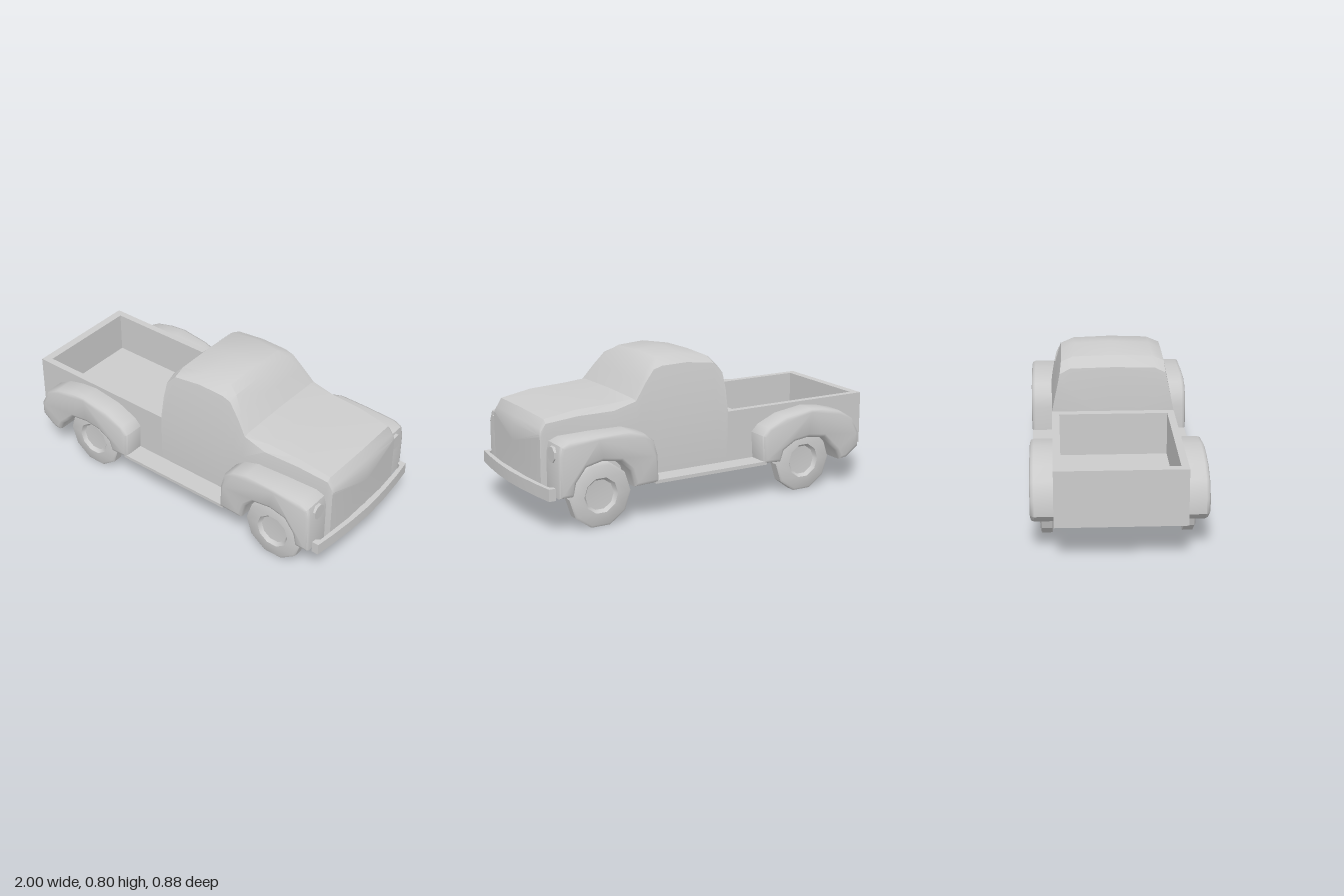
import * as THREE from 'three';
import { toCreasedNormals } from 'three/addons/utils/BufferGeometryUtils.js';

const material = new THREE.MeshStandardMaterial({ color: 0xcccccc });

function part(name, geometry, crease = 0.6) {
  const flat = geometry.index ? geometry.toNonIndexed() : geometry;
  const mesh = new THREE.Mesh(toCreasedNormals(flat, crease), material);
  mesh.name = name;
  return mesh;
}

const shapeOf = (pts) => new THREE.Shape(pts.map(([x, y]) => new THREE.Vector2(x, y)));

// Cab and hood: cross-sections lofted from the back of the cab to the nose.
// x, half width of body, shoulder (z, y), roof edge (z, y), crown y, nose bow
const STATIONS = [
  [-0.12, 0.325, 0.300, 0.600, 0.250, 0.620, 0.620, 0],
  [-0.11, 0.325, 0.282, 0.685, 0.225, 0.715, 0.720, 0],
  [-0.06, 0.325, 0.274, 0.740, 0.210, 0.767, 0.773, 0],
  [0.10, 0.325, 0.270, 0.760, 0.200, 0.797, 0.805, 0],
  [0.25, 0.325, 0.270, 0.757, 0.200, 0.787, 0.794, 0],
  [0.30, 0.325, 0.272, 0.742, 0.220, 0.757, 0.762, 0],
  [0.36, 0.325, 0.286, 0.675, 0.255, 0.683, 0.686, 0],
  [0.42, 0.326, 0.304, 0.598, 0.270, 0.605, 0.610, 0],
  [0.55, 0.322, 0.308, 0.565, 0.275, 0.596, 0.603, 0],
  [0.75, 0.305, 0.295, 0.560, 0.270, 0.588, 0.594, 0.005],
  [0.925, 0.288, 0.282, 0.540, 0.262, 0.560, 0.568, 0.01],
  [0.955, 0.286, 0.282, 0.505, 0.265, 0.515, 0.522, 0.015],
  [0.97, 0.285, 0.282, 0.485, 0.265, 0.487, 0.490, 0.02],
];

function cabGeometry() {
  const rings = STATIONS.map(([x, w, sz, sy, rz, ry, top, bow]) => {
    const half = [[w, 0.19], [w, Math.min(0.48, sy - 0.01)], [sz, sy], [rz, ry]];
    const ring = [...half, [0, top], ...half.map(([z, y]) => [-z, y]).reverse(), [0, 0.19]];
    return ring.map(([z, y]) => [x - bow * (z / w) ** 2, y, z]);
  });
  const n = rings[0].length;
  const pos = [];
  const last = rings.length - 1;
  for (let k = 0; k < n; k++) {
    const j = (k + 1) % n;
    for (let i = 0; i < last; i++) {
      const a = rings[i][k], b = rings[i + 1][k], c = rings[i + 1][j], d = rings[i][j];
      pos.push(...a, ...b, ...c, ...a, ...c, ...d);
    }
    pos.push(-0.12, 0.4, 0, ...rings[0][k], ...rings[0][j]);
    pos.push(0.97, 0.4, 0, ...rings[last][j], ...rings[last][k]);
  }
  const g = new THREE.BufferGeometry();
  g.setAttribute('position', new THREE.Float32BufferAttribute(pos, 3));
  return g;
}

// Open cargo bed: rectangular wall frame with a floor.
function addBed(group) {
  const frame = shapeOf([[-1, -0.325], [-0.12, -0.325], [-0.12, 0.325], [-1, 0.325]]);
  frame.holes.push(shapeOf([[-0.955, -0.287], [-0.955, 0.287], [-0.17, 0.287], [-0.17, -0.287]]));
  const walls = new THREE.ExtrudeGeometry(frame, { depth: 0.29, bevelEnabled: false });
  walls.rotateX(Math.PI / 2).translate(0, 0.48, 0);
  group.add(part('bedWalls', walls));
  const floor = new THREE.BoxGeometry(0.8, 0.06, 0.59).translate(-0.5625, 0.22, 0);
  group.add(part('bedFloor', floor));
}

// Fender outlines in side view, wheel arch included.
const REAR_FENDER = [
  [-0.91, 0.21], [-0.91, 0.29], [-0.865, 0.375], [-0.78, 0.425], [-0.68, 0.45], [-0.585, 0.46],
  [-0.42, 0.437], [-0.31, 0.39], [-0.27, 0.35], [-0.28, 0.195], [-0.39, 0.19], [-0.41, 0.25],
  [-0.48, 0.29], [-0.57, 0.302], [-0.67, 0.288], [-0.715, 0.24], [-0.76, 0.2], [-0.785, 0.147],
  [-0.83, 0.153],
];
const FRONT_FENDER = [
  [0.36, 0.195], [0.365, 0.34], [0.385, 0.415], [0.44, 0.46], [0.525, 0.485], [0.7, 0.483],
  [0.86, 0.475], [0.905, 0.455], [0.918, 0.4], [0.918, 0.19], [0.84, 0.19], [0.825, 0.26],
  [0.77, 0.33], [0.68, 0.35], [0.58, 0.335], [0.525, 0.28], [0.5, 0.19],
];

function fenderGeometry(outline, inner) {
  const bevel = 0.02;
  return new THREE.ExtrudeGeometry(shapeOf([...outline].reverse()), {
    depth: 0.44 - inner - 2 * bevel, bevelSize: bevel, bevelOffset: -bevel,
    bevelThickness: bevel, bevelSegments: 2,
  }).translate(0, 0, inner + bevel);
}

// Ten-sided wheel with a dished hub, facing +z.
function wheelGeometry() {
  const profile = [[0, 0.325], [0.14, 0.325], [0.172, 0.33], [0.172, 0.383], [0.16, 0.39],
    [0.095, 0.395], [0.08, 0.375], [0, 0.37]].map(([r, z]) => new THREE.Vector2(r, z));
  return new THREE.LatheGeometry(profile, 10).rotateX(Math.PI / 2).rotateZ(Math.PI / 10);
}

// Bowed bumper whose ends hook back toward the fenders.
function bumperGeometry() {
  const outer = [[0.965, -0.41], [0.98, -0.3], [0.994, -0.15], [1, 0],
    [0.994, 0.15], [0.98, 0.3], [0.965, 0.41]];
  const inner = [[0.928, 0.41], [0.93, 0.385], [0.95, 0.37], [0.968, 0.15],
    [0.968, -0.15], [0.95, -0.37], [0.93, -0.385], [0.928, -0.41]];
  return new THREE.ExtrudeGeometry(shapeOf([...outer, ...inner]),
    { depth: 0.063, bevelEnabled: false }).rotateX(Math.PI / 2).translate(0, 0.245, 0);
}

// Everything that repeats on each side, modelled on +z.
function sideParts(name) {
  const side = new THREE.Group();
  side.name = name;
  side.add(part('rearFender', fenderGeometry(REAR_FENDER, 0.295), 0.9));
  side.add(part('frontFender', fenderGeometry(FRONT_FENDER, 0.24), 0.9));
  side.add(part('runningBoard', new THREE.BoxGeometry(0.68, 0.018, 0.125).translate(0.04, 0.199, 0.3725)));
  const lamp = new THREE.CylinderGeometry(0.042, 0.042, 0.03, 8);
  lamp.rotateY(Math.PI / 8).rotateZ(-Math.PI / 2).translate(0.91, 0.404, 0.355);
  side.add(part('headlight', lamp));
  return side;
}

// Mirror a geometry across z = 0 and restore its winding.
function mirrorZ(geometry) {
  const g = geometry.clone().scale(1, 1, -1);
  for (const key of ['position', 'normal', 'uv']) {
    const attr = g.getAttribute(key);
    if (!attr) continue;
    const { array, itemSize: s } = attr;
    for (let i = 0; i < array.length; i += 3 * s) {
      for (let c = 0; c < s; c++) {
        [array[i + s + c], array[i + 2 * s + c]] = [array[i + 2 * s + c], array[i + s + c]];
      }
    }
  }
  return g;
}

export function createModel() {
  const truck = new THREE.Group();
  truck.name = 'pickupTruck';
  truck.add(part('cabAndHood', cabGeometry(), 0.55));
  addBed(truck);
  truck.add(part('frontBumper', bumperGeometry(), 0.4));

  for (const [name, sign] of [['nearSide', 1], ['farSide', -1]]) {
    const side = sideParts(name);
    for (const [wheelName, x] of [['rearWheel', -0.565], ['frontWheel', 0.672]]) {
      side.add(part(wheelName, wheelGeometry().translate(x, 0.1636, 0)));
    }
    if (sign < 0) side.children.forEach((m) => { m.geometry = mirrorZ(m.geometry); });
    truck.add(side);
  }
  return truck;
}
